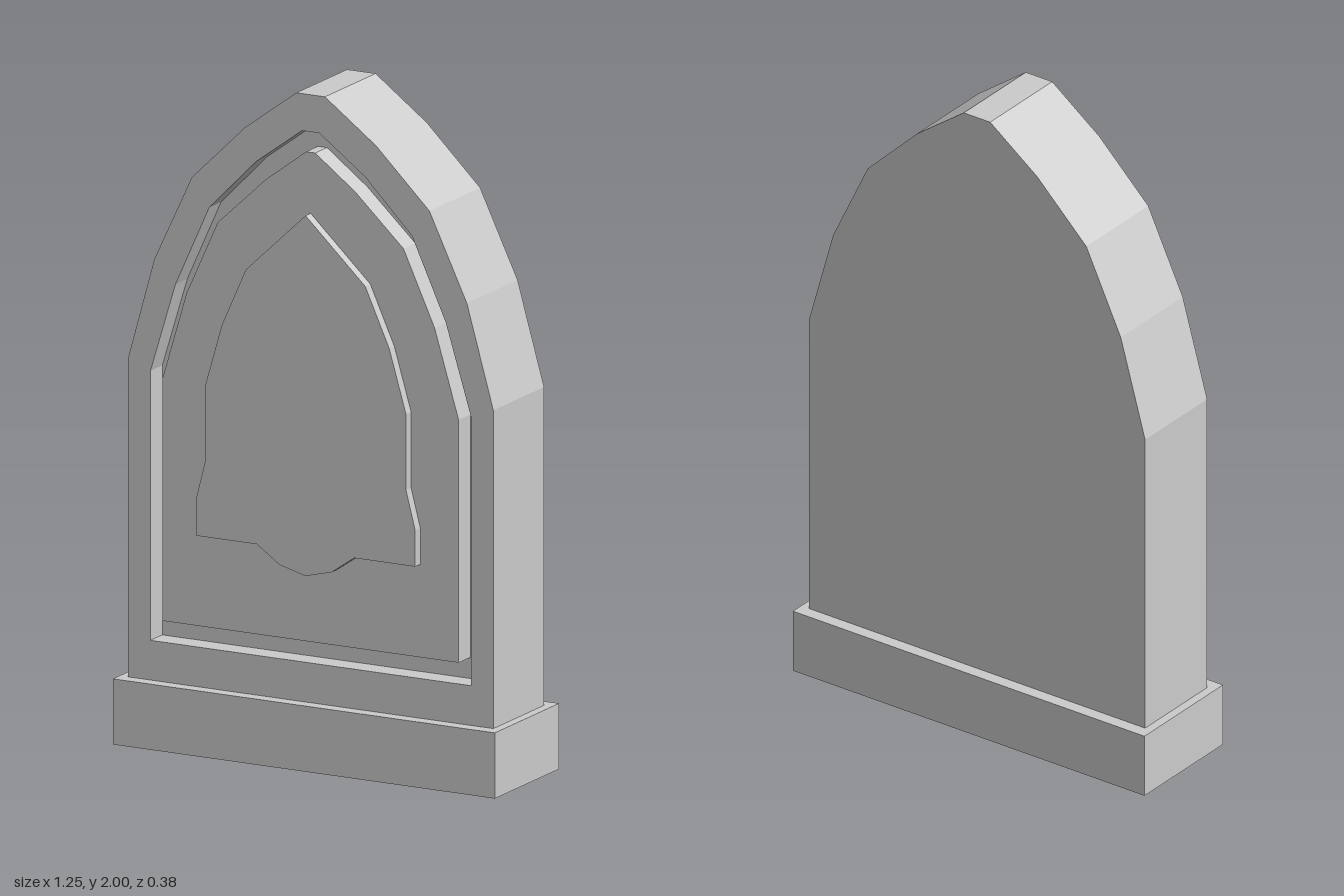
import * as THREE from 'three';

const material = new THREE.MeshStandardMaterial({ color: 0xcccccc, flatShading: true });

// Right-hand outline points, bottom to top, mirrored into a closed loop
function mirrored(half) {
  const left = half.filter(([x]) => x > 0).reverse().map(([x, y]) => [-x, y]);
  return [...half, ...left].map(([x, y]) => new THREE.Vector2(x, y));
}

// Flat slab between two depths, with an optional hole
function slab(name, half, back, front, hole) {
  const shape = new THREE.Shape(mirrored(half));
  if (hole) shape.holes.push(new THREE.Path(mirrored(hole)));
  const geometry = new THREE.ExtrudeGeometry(shape, { depth: front - back, bevelEnabled: false });
  geometry.translate(0, 0, back);
  const mesh = new THREE.Mesh(geometry, material);
  mesh.name = name;
  return mesh;
}

export function createModel() {
  const group = new THREE.Group();
  group.name = 'gravestone';

  const BASE_TOP = 0.195, FACE = 0.15, GROOVE_FLOOR = 0.08;

  const body = [[0.6, BASE_TOP], [0.6, 1.14], [0.513, 1.447], [0.39, 1.705], [0.215, 1.876], [0.047, 2]];
  const grooveOuter = [[0.526, 0.313], [0.526, 1.113], [0.444, 1.38], [0.333, 1.623], [0.18, 1.778], [0.028, 1.89]];
  const grooveInner = [[0.486, 0.376], [0.486, 1.097], [0.407, 1.36], [0.305, 1.582], [0.147, 1.73], [0.015, 1.829]];
  const emblem = [
    [0, 0.578], [0.085, 0.6], [0.16, 0.652], [0.36, 0.652], [0.36, 0.76], [0.33, 0.875],
    [0.33, 1.1], [0.275, 1.288], [0.196, 1.463], [0, 1.648],
  ];

  // Plinth
  const base = new THREE.Mesh(new THREE.BoxGeometry(1.254, BASE_TOP, 0.38), material);
  base.name = 'base';
  base.position.y = BASE_TOP / 2;
  group.add(base);

  // Stone with a groove running round its front panel
  group.add(slab('stoneBack', body, -FACE, GROOVE_FLOOR));
  group.add(slab('stoneRim', body, GROOVE_FLOOR, FACE, grooveOuter));
  group.add(slab('frontPanel', grooveInner, GROOVE_FLOOR, FACE));

  // Raised plaque on the panel
  group.add(slab('plaque', emblem, FACE, 0.18));

  return group;
}
